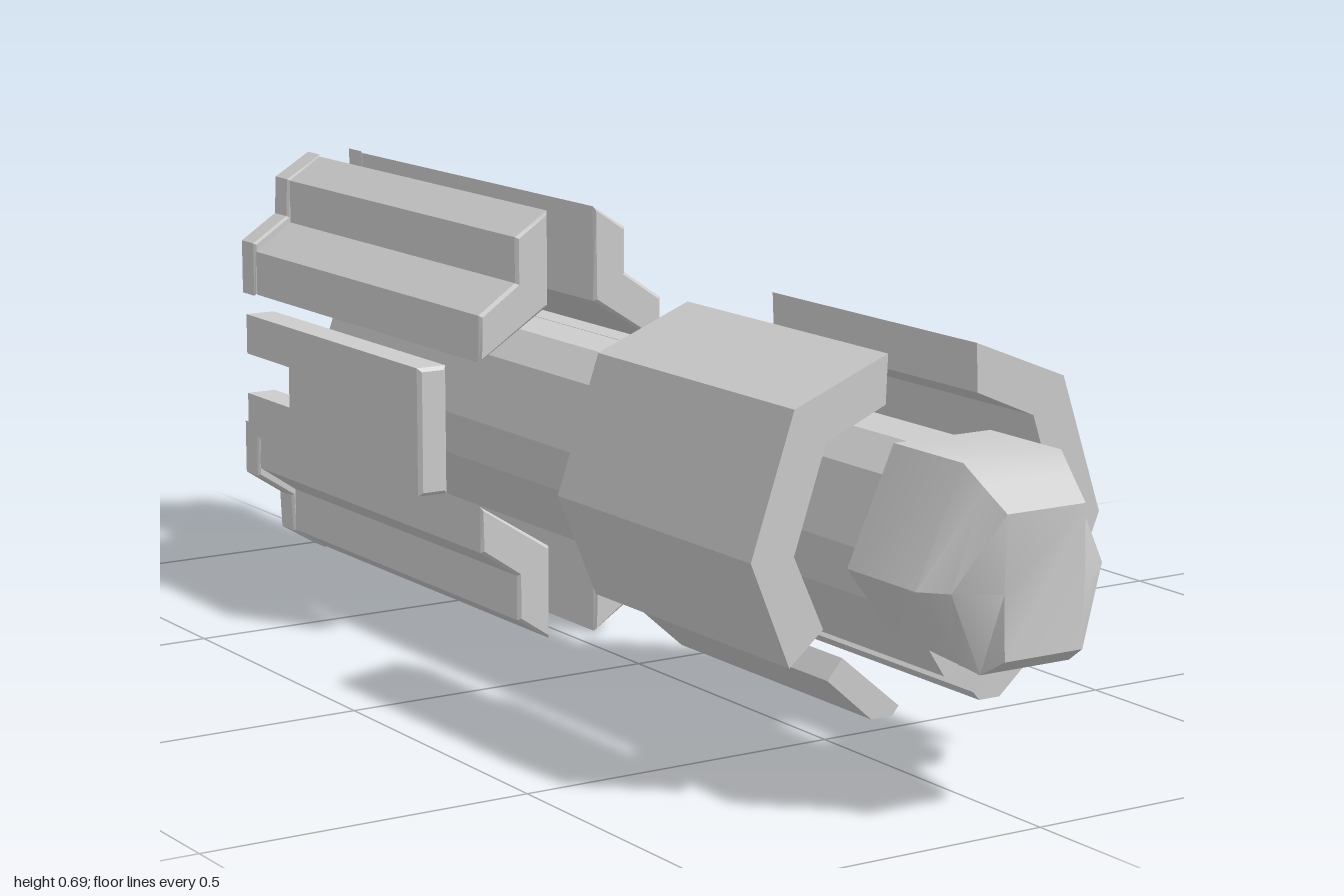
import * as THREE from 'three';
import { toCreasedNormals } from 'three/addons/utils/BufferGeometryUtils.js';

const material = new THREE.MeshStandardMaterial({ color: 0xcccccc, flatShading: true });
const smooth = new THREE.MeshStandardMaterial({ color: 0xcccccc });
const MID = 0.348; // height of the long axis

const toShape = (pts) => new THREE.Shape(pts.map(([x, y]) => new THREE.Vector2(x, y)));
const mirrorX = (pts, side) => pts.map(([x, y]) => [x * side, y]);
const mirrorY = (pts) => pts.map(([x, y]) => [x, 2 * MID - y]);
const rect = (x0, x1, y0, y1) => [[x0, y0], [x1, y0], [x1, y1], [x0, y1]];

// Closed half outline (x >= 0, top to bottom) completed on the other side
const symmetric = (half) => [...half, ...mirrorX(half, -1).reverse()];

// Prism along z between z0 and z1, with an optional small edge bevel and holes
function prism(name, pts, z0, z1, bevel = 0, holes = []) {
  const shape = toShape(pts);
  holes.forEach((h) => shape.holes.push(toShape(h)));
  const geo = new THREE.ExtrudeGeometry(shape, {
    depth: z1 - z0 - 2 * bevel, bevelEnabled: bevel > 0, bevelSegments: 1,
    bevelThickness: bevel, bevelSize: bevel, bevelOffset: -bevel,
  });
  geo.translate(0, 0, z0 + bevel);
  const mesh = new THREE.Mesh(geo, material);
  mesh.name = name;
  return mesh;
}

// Skin through matching clockwise outlines, ordered from back to front
function loft(name, sections) {
  const pos = [];
  const n = sections[0].pts.length;
  const put = (s, i) => pos.push(s.pts[i % n][0], s.pts[i % n][1], s.z);
  for (let k = 0; k < sections.length - 1; k++) {
    const a = sections[k], b = sections[k + 1];
    for (let i = 0; i < n; i++) {
      put(a, i); put(b, i); put(b, i + 1);
      put(a, i); put(b, i + 1); put(a, i + 1);
    }
  }
  const first = sections[0], last = sections[sections.length - 1];
  for (let i = 1; i < n - 1; i++) {
    put(first, 0); put(first, i); put(first, i + 1);
    put(last, 0); put(last, i + 1); put(last, i);
  }
  const geo = new THREE.BufferGeometry();
  geo.setAttribute('position', new THREE.Float32BufferAttribute(pos, 3));
  const mesh = new THREE.Mesh(toCreasedNormals(geo, 0.7), smooth);
  mesh.name = name;
  return mesh;
}

// Side panel with a slot at the back and two hollow prongs
function sidePanel(side) {
  const g = new THREE.Group();
  g.name = side > 0 ? 'leftRearPanel' : 'rightRearPanel';
  const x0 = 0.174, x1 = 0.225;
  g.add(prism('panelPlate', mirrorX(rect(x0, x1, 0.24, 0.445), side), -0.73, -0.285, 0.006));
  for (const [y0, y1] of [[0.24, 0.31], [0.378, 0.445]]) {
    const outer = mirrorX(rect(x0, x1, y0, y1), side);
    const hole = mirrorX(rect(x0 + 0.011, x1 - 0.011, y0 + 0.012, y1 - 0.012), side);
    g.add(prism('prong', outer, -0.83, -0.72));
    g.add(prism('prongSocket', outer, -0.875, -0.83, 0, [hole]));
  }
  return g;
}

// Grooved rear rail with a slightly heavier collar at its back end
function rearRail(side, lower) {
  const place = (pts) => mirrorX(lower ? mirrorY(pts) : pts, side);
  const rail = [[0.042, 0.69], [0.1, 0.653], [0.1, 0.581], [0.166, 0.536], [0.166, 0.462], [0.042, 0.54]];
  const collar = [[0.04, 0.693], [0.103, 0.655], [0.106, 0.592], [0.17, 0.55], [0.17, 0.46], [0.04, 0.538]];
  const g = new THREE.Group();
  g.name = (lower ? 'lower' : 'upper') + (side > 0 ? 'Left' : 'Right') + 'Rail';
  g.add(prism('rail', place(rail), -0.955, -0.195, 0.005));
  g.add(prism('railCollar', place(collar), -1, -0.95, 0.004));
  return g;
}

export function createModel() {
  const model = new THREE.Group();
  model.name = 'model';

  // Central shaft with a grooved keel underneath
  model.add(prism('shaft', symmetric([
    [0.04, 0.49], [0.085, 0.45], [0.12, 0.35], [0.098, 0.275],
    [0.06, 0.215], [0.036, 0.178], [0.016, 0.178], [0.01, 0.195],
  ]), -0.82, 0.83));

  // Faceted nose tapering to a flat front
  const ring = (top, tx, mx, bottom, bx) =>
    symmetric([[tx, top], [mx, 0.332], [bx, bottom]]);
  model.add(loft('nose', [
    { z: 0.77, pts: ring(0.497, 0.082, 0.157, 0.235, 0.085) },
    { z: 0.925, pts: ring(0.497, 0.082, 0.157, 0.222, 0.082) },
    { z: 0.96, pts: ring(0.47, 0.074, 0.125, 0.215, 0.075) },
    { z: 1, pts: ring(0.44, 0.065, 0.068, 0.24, 0.065) },
  ]));

  const shield = [
    [0.075, 0.615], [0.228, 0.554], [0.297, 0.352], [0.233, 0.198],
    [0.178, 0.245], [0.227, 0.352], [0.176, 0.503], [0.078, 0.545],
  ];
  const strip = [[0.064, 0.126], [0.16, 0.207], [0.184, 0.178], [0.11, 0.113], [0.075, 0.113]];

  for (const side of [1, -1]) {
    const label = side > 0 ? 'left' : 'right';
    model.add(prism(label + 'FrontShield', mirrorX(shield, side), 0.25, 0.745));
    model.add(prism(label + 'LowerStrip', mirrorX(strip, side), 0.29, 0.765));
    model.add(sidePanel(side), rearRail(side, false), rearRail(side, true));
  }
  return model;
}
